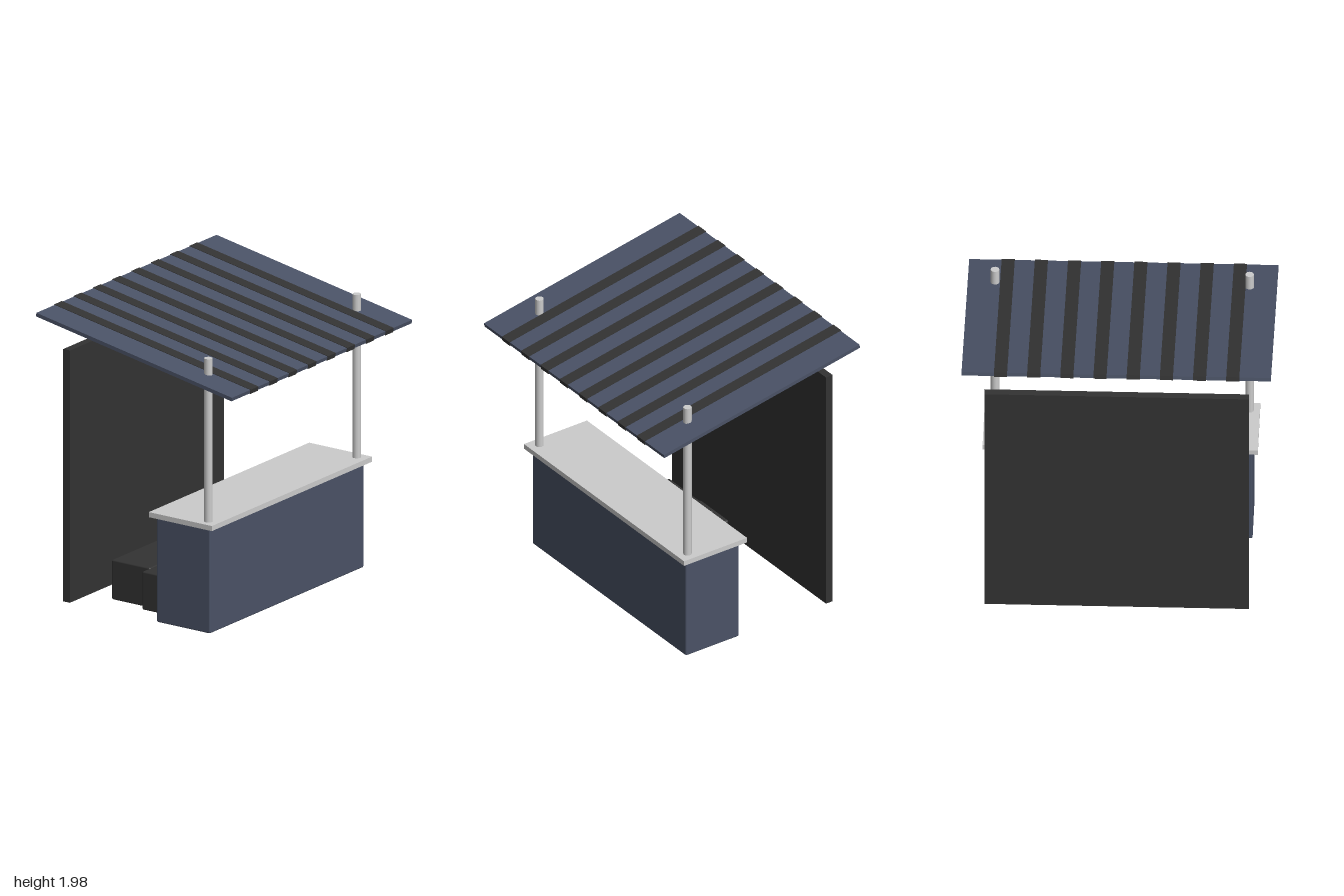
import * as THREE from 'three';
import { RoundedBoxGeometry } from 'three/addons/geometries/RoundedBoxGeometry.js';

const mat = (name, color) => {
  const m = new THREE.MeshStandardMaterial({ color });
  m.name = name;
  return m;
};

export function createModel() {
  const slate = mat('slate blue', 0x4a5266);
  const charcoal = mat('charcoal', 0x333333);
  const lightGrey = mat('light grey', 0xcccccc);
  const cyan = mat('cyan', 0x08c8cd);

  const model = new THREE.Group();
  model.name = 'marketStall';

  const add = (name, geometry, material, x, y, z, parent = model) => {
    const mesh = new THREE.Mesh(geometry, material);
    mesh.name = name;
    mesh.position.set(x, y, z);
    parent.add(mesh);
    return mesh;
  };
  const box = (w, h, d) => new THREE.BoxGeometry(w, h, d);
  const softBox = (w, h, d) => new RoundedBoxGeometry(w, h, d, 2, 0.01);

  // Counter and its overhanging top
  add('counter', softBox(1.71, 0.715, 0.424), slate, 0, 0.3575, 0.288);
  add('counterTop', box(1.78, 0.035, 0.5), lightGrey, 0, 0.7325, 0.29);

  // Posts run from the ground up through the canopy
  for (const side of [-1, 1]) {
    add(side > 0 ? 'leftPost' : 'rightPost',
      new THREE.CylinderGeometry(0.028, 0.028, 1.86, 12), lightGrey, side * 0.823, 0.93, 0.465);
  }

  // Back wall
  add('backWall', box(1.71, 1.715, 0.053), charcoal, 0, 0.8575, -0.639);

  // Sloping canopy with eight stripes
  const canopy = new THREE.Group();
  canopy.name = 'canopy';
  canopy.position.y = 1.825;
  canopy.rotation.x = 0.18;
  model.add(canopy);
  add('canopySheet', box(2, 0.025, 1.58), slate, 0, 0, 0, canopy);
  for (let i = 0; i < 8; i++) {
    add('canopyStripe', box(0.085, 0.031, 1.588), charcoal, -0.754 + i * 0.2145, 0, 0, canopy);
  }

  // Hanging lamp
  add('lampCord', new THREE.CylinderGeometry(0.006, 0.006, 0.29, 8), charcoal, 0, 1.607, 0.075);
  add('lampShade', new THREE.CylinderGeometry(0.063, 0.063, 0.085, 24), lightGrey, 0, 1.432, 0.075);

  // Hanging light strips: start and end of each bar in x, y
  const strips = [
    [-0.29, 1.53, -0.15, 1.72], [-0.235, 1.53, -0.235, 1.66],
    [-0.05, 1.53, -0.05, 1.64], [-0.09, 1.73, -0.005, 1.53],
    [0.123, 1.525, 0.123, 1.745], [0.06, 1.537, 0.12, 1.537],
  ];
  for (const [x1, y1, x2, y2] of strips) {
    const bar = add('lightStrip', box(Math.hypot(x2 - x1, y2 - y1), 0.025, 0.018), cyan,
      (x1 + x2) / 2, (y1 + y2) / 2, 0.325);
    bar.rotation.z = Math.atan2(y2 - y1, x2 - x1);
  }

  // Storage crates behind the counter: x range, height, z range
  const crates = [
    [-0.70, -0.42, 0.26, -0.15, 0.08],
    [-0.13, 0.17, 0.22, -0.15, 0.07],
    [0.06, 0.33, 0.195, -0.27, -0.05],
    [-0.64, -0.145, 0.27, -0.435, -0.13],
    [-0.42, -0.11, 0.18, -0.53, -0.325],
  ];
  for (const [x1, x2, h, z1, z2] of crates) {
    add('crate', softBox(x2 - x1, h, z2 - z1), charcoal, (x1 + x2) / 2, h / 2, (z1 + z2) / 2);
  }

  return model;
}
